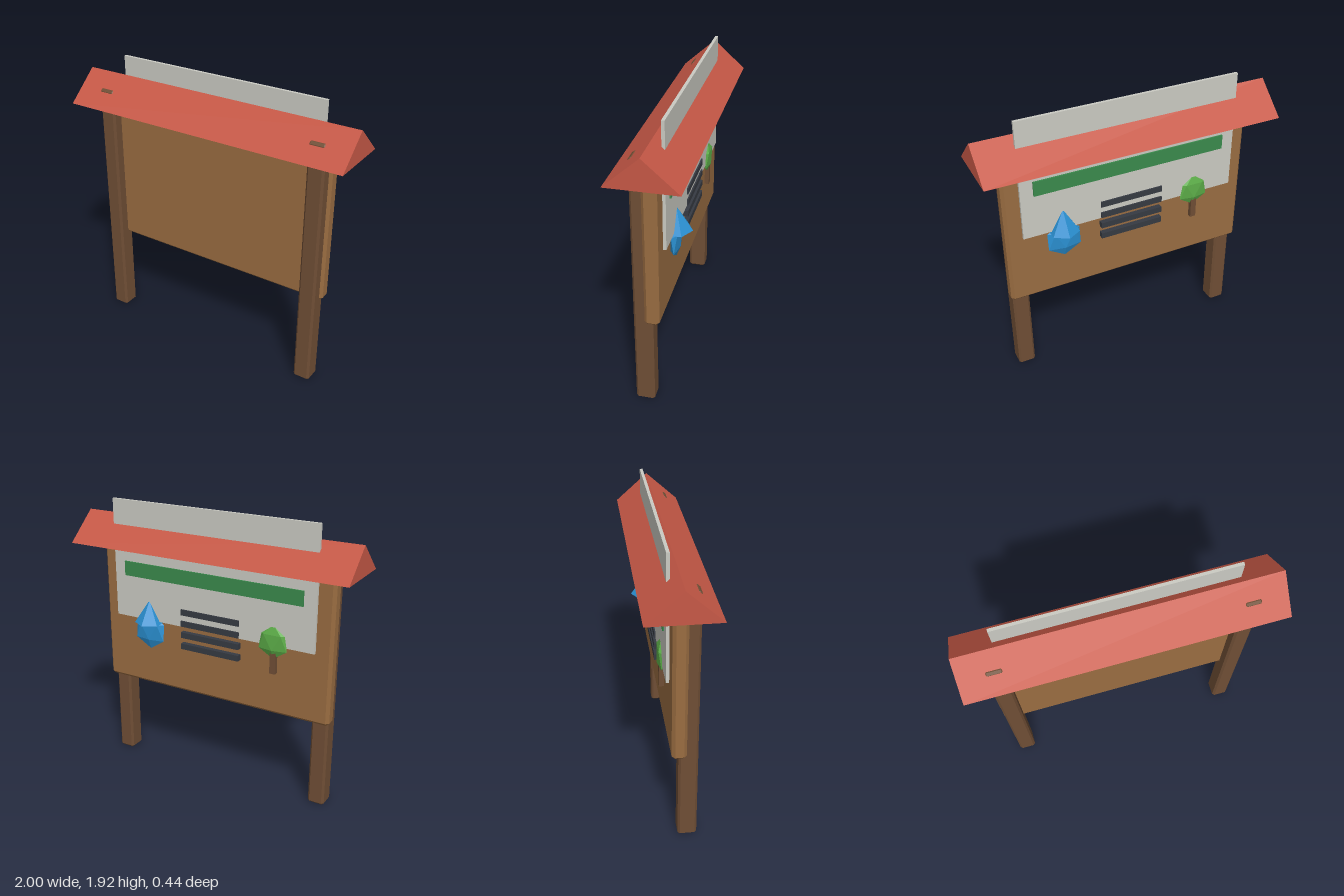
import * as THREE from 'three';
import { ConvexGeometry } from 'three/addons/geometries/ConvexGeometry.js';

const mat = (name, color, flatShading = false) => {
  const m = new THREE.MeshStandardMaterial({ color, flatShading });
  m.name = name;
  return m;
};

// Box with every edge cut at 45 degrees
function chamferBox(w, h, d, c) {
  const points = [];
  for (const x of [-1, 1]) for (const y of [-1, 1]) for (const z of [-1, 1]) {
    for (let axis = 0; axis < 3; axis++) {
      const inset = [c, c, c];
      inset[axis] = 0;
      points.push(new THREE.Vector3(
        x * (w / 2 - inset[0]), y * (h / 2 - inset[1]), z * (d / 2 - inset[2])));
    }
  }
  return new ConvexGeometry(points);
}

// Twenty-sided ball with a corner at the top and bottom, flattened in z
function facetedBall(rx, ry, rz) {
  const g = new THREE.IcosahedronGeometry(1, 0);
  g.rotateX(-Math.atan((1 + Math.sqrt(5)) / 2));
  g.scale(rx, ry, rz);
  g.computeVertexNormals();
  return g;
}

export function createModel() {
  const group = new THREE.Group();
  group.name = 'noticeBoard';

  const darkWood = mat('dark wood', 0x6f4e35);
  const boardWood = mat('board wood', 0x996c41);
  const roofRed = mat('roof red', 0xc65846);
  const paper = mat('paper grey', 0xcacac2);
  const bannerGreen = mat('banner green', 0x3a8a4c);
  const inkGrey = mat('ink grey', 0x363a42);
  const waterBlue = mat('water blue', 0x2a8fd0, true);
  const leafGreen = mat('leaf green', 0x5cad48, true);

  const add = (name, geometry, material, x, y, z) => {
    const mesh = new THREE.Mesh(geometry, material);
    mesh.name = name;
    mesh.position.set(x, y, z);
    group.add(mesh);
    return mesh;
  };
  const box = (w, h, d) => new THREE.BoxGeometry(w, h, d);

  // Posts, whose tops just break through the front roof slope
  for (const side of [-1, 1]) {
    add(side > 0 ? 'leftPost' : 'rightPost',
      chamferBox(0.115, 1.722, 0.122, 0.014), darkWood, side * 0.782, 0.861, 0.059);
  }

  // Backing board
  add('board', chamferBox(1.715, 0.995, 0.095, 0.02), boardWood, 0, 1.113, 0.0025);

  // Gable roof
  const gable = new THREE.Shape([
    new THREE.Vector2(-0.22, 1.615),
    new THREE.Vector2(0.22, 1.615),
    new THREE.Vector2(0, 1.81),
  ]);
  const roof = new THREE.ExtrudeGeometry(gable, { depth: 2, bevelEnabled: false });
  roof.translate(0, 0, -1);
  roof.rotateY(Math.PI / 2);
  add('roof', roof, roofRed, 0, 0, 0);

  // Poster sheet, standing up through the roof
  add('poster', box(1.5, 0.815, 0.02), paper, 0, 1.5125, -0.06);
  add('posterBanner', box(1.33, 0.1, 0.02), bannerGreen, 0, 1.452, -0.07);

  // Rows of writing
  for (let i = 0; i < 4; i++) {
    add('textLine', box(0.44, 0.04, 0.035), inkGrey, 0, 1.21 - i * 0.081, -0.0625);
  }

  // Water drop: six-sided tip over a flattened ball
  add('dropTip', new THREE.ConeGeometry(0.105, 0.157, 6), waterBlue, 0.48, 1.1685, -0.065);
  add('dropBody', facetedBall(0.13, 0.128, 0.03), waterBlue, 0.48, 1.024, -0.065);

  // Small tree
  add('treeTrunk', box(0.04, 0.15, 0.03), darkWood, -0.47, 0.99, -0.065);
  add('treeCrown', facetedBall(0.115, 0.115, 0.03), leafGreen, -0.465, 1.13, -0.065);

  return group;
}
